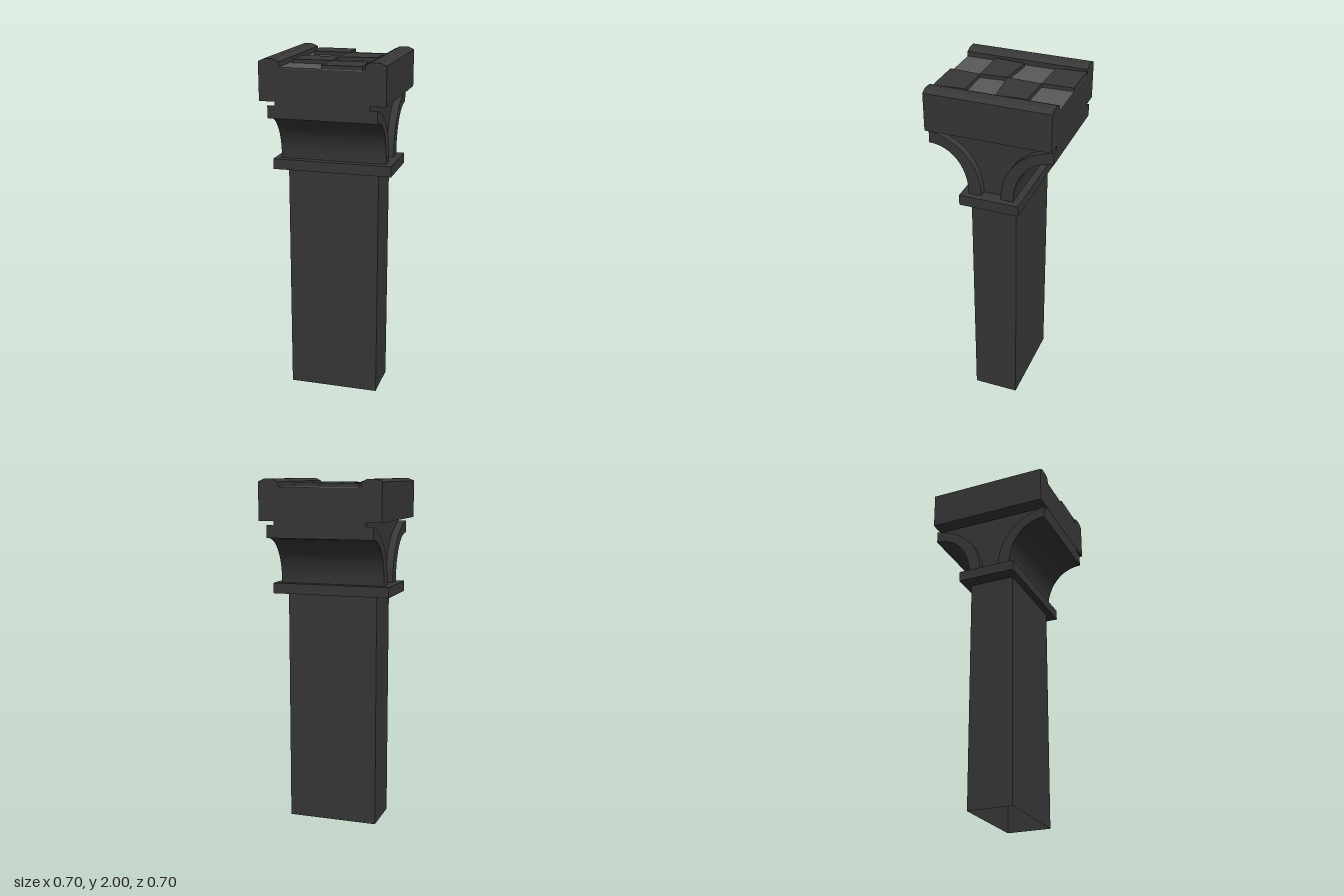
import * as THREE from 'three';
import { toCreasedNormals } from 'three/addons/utils/BufferGeometryUtils.js';

export function createModel() {
  const model = new THREE.Group();
  model.name = 'pillar';
  const stone = new THREE.MeshStandardMaterial({ name: 'dark stone', color: 0x383838, side: THREE.DoubleSide });
  const paving = new THREE.MeshStandardMaterial({ name: 'grey paving', color: 0x5a5a5a });

  const add = (name, geometry, material = stone) => {
    const mesh = new THREE.Mesh(geometry, material);
    mesh.name = name;
    model.add(mesh);
    return mesh;
  };
  const box = (w, h, d, y) => new THREE.BoxGeometry(w, h, d).translate(0, y, 0);
  // Centred extrusion of a shape along z
  const extrude = (shape, depth) => toCreasedNormals(
    new THREE.ExtrudeGeometry(shape, { depth, bevelEnabled: false, curveSegments: 12 })
      .translate(0, 0, -depth / 2), 0.5);

  // Hollow shaft, open underneath
  const shaft = box(0.526, 1.35, 0.262, 0.675);
  const index = Array.from(shaft.index.array);
  index.splice(18, 6);
  shaft.setIndex(index);
  shaft.clearGroups();
  add('shaft', shaft);
  add('collar', box(0.686, 0.06, 0.34, 1.38));

  // Flared web inside the two curved bands
  const web = new THREE.Shape();
  web.moveTo(-0.055, 1.41);
  web.lineTo(0.055, 1.41);
  web.bezierCurveTo(0.06, 1.58, 0.15, 1.71, 0.35, 1.75);
  web.lineTo(0.35, 1.775);
  web.lineTo(-0.35, 1.775);
  web.lineTo(-0.35, 1.75);
  web.bezierCurveTo(-0.15, 1.71, -0.06, 1.58, -0.055, 1.41);
  add('web', extrude(web, 0.526).rotateY(Math.PI / 2));

  for (const [side, s] of [['front', -1], ['back', 1]]) {
    const band = new THREE.Shape();
    band.moveTo(0.055 * s, 1.41);
    band.lineTo(0.128 * s, 1.41);
    band.bezierCurveTo(0.128 * s, 1.57, 0.22 * s, 1.68, 0.35 * s, 1.68);
    band.lineTo(0.35 * s, 1.75);
    band.bezierCurveTo(0.15 * s, 1.71, 0.06 * s, 1.58, 0.055 * s, 1.41);
    add(side + 'Band', extrude(band, 0.61).rotateY(Math.PI / 2));
  }

  // Head block with a raised, bevelled rail along each side
  const rail = [[0.351, 1.772], [0.351, 1.985], [0.318, 2], [0.268, 2], [0.235, 1.985], [0.235, 1.953]];
  const outline = [...rail, ...rail.map(([x, y]) => [-x, y]).reverse()];
  const head = new THREE.Shape(outline.map(([x, y]) => new THREE.Vector2(x, y)));
  add('head', toCreasedNormals(extrude(head, 0.702), 0.2));
  add('walkway', box(0.47, 0.004, 0.702, 1.955), paving);

  // Uneven raised slabs, corners given as x, z
  const slabs = [
    [[-0.222, -0.351], [0, -0.351], [0.008, -0.175], [-0.205, -0.18]],
    [[0.008, -0.175], [0.212, -0.17], [0.222, 0], [-0.002, 0.022]],
    [[-0.21, 0], [-0.002, 0.022], [0.01, 0.175], [-0.22, 0.175]],
    [[0.01, 0.175], [0.212, 0.174], [0.222, 0.351], [-0.002, 0.351]],
  ];
  slabs.forEach((corners, i) => {
    const shape = new THREE.Shape(corners.map(([x, z]) => new THREE.Vector2(x, -z)));
    const slab = new THREE.ExtrudeGeometry(shape, { depth: 0.023, bevelEnabled: false });
    add('slab' + (i + 1), slab.rotateX(-Math.PI / 2).translate(0, 1.955, 0));
  });

  return model;
}
